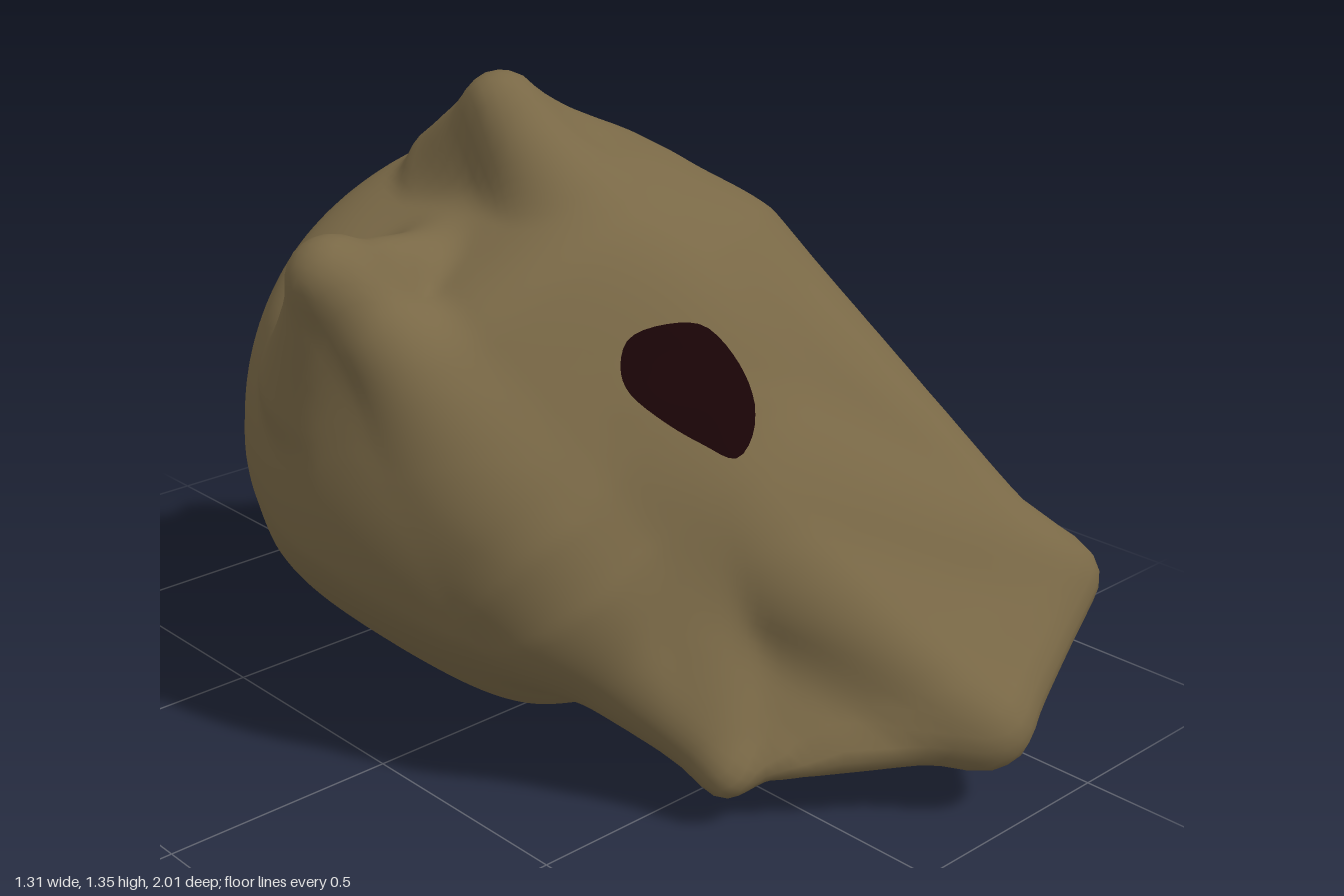
import * as THREE from 'three';
import { mergeVertices } from 'three/addons/utils/BufferGeometryUtils.js';

const V = (x, y, z) => new THREE.Vector3(x, y, z);
const ball = (x, y, z, r) => ({ c: V(x, y, z), r });

// Tips and swellings of the lump: centre and radius
const topTip = ball(-0.1, 1.265, -0.08, 0.062);
const topFront = ball(-0.06, 1.09, 0.05, 0.12);
const topRear = ball(-0.07, 1.11, -0.2, 0.125);
const topRight = ball(0.07, 1.06, -0.08, 0.16);
const sideTip = ball(-0.575, 1.035, -0.01, 0.065);
const sideRoot = ball(-0.35, 0.6, -0.08, 0.27);
const sideBase = ball(-0.49, 0.8, -0.12, 0.15);
const leftFlank = ball(-0.22, 0.45, 0.25, 0.25);
const faceMid = ball(0, 0.6, 0.25, 0.29);
const faceTop = ball(-0.06, 0.7, 0.28, 0.19);
const ridgeTop = ball(0.2, 0.8, 0.15, 0.3);
const ridgeEnd = ball(0.5, 0.4, 0.8, 0.09);
const snoutRoot = ball(0.1, 0.43, 0.15, 0.36);
const snoutOuter = ball(0.57, 0.37, 0.84, 0.07);
const snoutInner = ball(0.26, 0.19, 0.905, 0.077);
const spikeTip = ball(-0.15, 0.115, 0.62, 0.032);
const backTip = ball(-0.02, 0.43, -0.94, 0.045);
const backLump = ball(0.21, 0.22, -0.78, 0.115);
const backLow = ball(0.02, 0.2, -0.75, 0.11);
const backLeft = ball(-0.2, 0.52, -0.36, 0.29);
const backRight = ball(0.07, 0.45, -0.32, 0.32);
const backTop = ball(0, 0.78, -0.35, 0.24);
const backSlope = ball(0.05, 0.4, -0.83, 0.09);

// Limbs join two balls, webs join three
const parts = [
  // top horn
  [topTip, topFront, topRear], [topTip, topRight, topRear], [topTip, topRight, topFront],
  // side horn, with a saddle towards the top horn
  [sideTip, sideRoot, leftFlank], [sideTip, sideBase],
  [sideTip, ball(-0.15, 0.94, -0.1, 0.1)],
  // front face and snout
  [ridgeTop, ridgeEnd, faceMid], [faceMid, ridgeEnd, snoutInner],
  [snoutRoot, snoutInner, snoutOuter], [ridgeEnd, snoutInner, snoutOuter],
  [ball(0.28, 0.5, 0.1, 0.26), ball(0.45, 0.36, 0.7, 0.12)],
  // front spike
  [faceMid, faceTop, spikeTip], [leftFlank, faceMid, spikeTip], [snoutRoot, snoutInner, spikeTip],
  [ball(-0.05, 0.4, 0.25, 0.31), spikeTip],
  // back horn with the blunt lump below it
  [backTip, backLeft, backLow], [backTip, backLump, backLow],
  [backRight, backLump, backLow], [backRight, backLump, backTip],
  [backTop, backSlope, backRight], [backSlope, backLump, backTip],
  // belly swelling
  [ball(0.1, 0.4, -0.05, 0.39), ball(0.2, 0.42, 0, 0.37)],
].map((balls) => ({
  balls,
  face: balls.length === 3 ? new THREE.Triangle(...balls.map((b) => b.c)) : null,
  radii: V(...balls.map((b) => b.r)),
}));

// Round core and the flat cuts that shape it: direction, distance
const coreCentre = V(0, 0.61, -0.08);
const coreSize = V(0.62, 0.61, 0.6);
const cuts = [
  [V(-0.46, 0.43, 0.775).normalize(), 0.75], // front face
  [V(-0.68, -0.73, 0).normalize(), 0.125],   // lower side
  [V(0.7, 0, -0.71).normalize(), 0.62],      // rear corner
  [V(-0.5, 0.85, 0).normalize(), 1.05],      // saddle between the horns
  [V(0.75, 0.66, 0).normalize(), 0.98],      // upper side
  [V(0.48, 0.6, -0.64).normalize(), 0.96],   // upper rear corner
];

function smoothMin(a, b, k) {
  const h = Math.max(k - Math.abs(a - b), 0) / k;
  return Math.min(a, b) - h * h * k / 4;
}

function coreDistance(p) {
  const q = p.clone().sub(coreCentre).divide(coreSize);
  const k0 = q.length();
  const k1 = q.divide(coreSize).length();
  const round = k1 > 1e-6 ? k0 * (k0 - 1) / k1 : -0.6;
  return cuts.reduce((d, [n, far]) => -smoothMin(-d, far - n.dot(p), 0.06), round);
}

const near = V(0, 0, 0), weights = V(0, 0, 0);
function partDistance(p, { balls: [a, b], face, radii }) {
  if (face) {
    face.closestPointToPoint(p, near);
    face.getBarycoord(near, weights);
    return near.distanceTo(p) - weights.dot(radii);
  }
  const ab = b.c.clone().sub(a.c);
  const ap = p.clone().sub(a.c);
  const t = THREE.MathUtils.clamp(ap.dot(ab) / ab.lengthSq(), 0, 1);
  return ap.addScaledVector(ab, -t).length() - (a.r + (b.r - a.r) * t);
}

const field = (p) =>
  parts.reduce((d, part) => smoothMin(d, partDistance(p, part), 0.05), coreDistance(p));

// First surface point met when walking from a start point along a direction
function hitSurface(start, dir) {
  const p = start.clone();
  for (let i = 0; i < 70; i++) {
    const d = field(p);
    if (d < 0.0005) break;
    p.addScaledVector(dir, d * 0.8);
  }
  return p;
}

// Sphere shrunk onto the blended surface
function makeBody() {
  let geo = new THREE.IcosahedronGeometry(1, 38);
  geo.deleteAttribute('uv');
  geo.deleteAttribute('normal');
  geo = mergeVertices(geo, 1e-5);
  const centre = V(0, 0.5, 0);
  const pos = geo.attributes.position;
  const dir = V(0, 0, 0);
  for (let i = 0; i < pos.count; i++) {
    dir.fromBufferAttribute(pos, i).normalize();
    const p = hitSurface(centre.clone().addScaledVector(dir, 1.3), dir.clone().negate());
    pos.setXYZ(i, p.x, p.y, p.z);
  }
  return geo;
}

// Thin patch of concentric rings laid on the front face
function makePatch() {
  const outline = new THREE.CatmullRomCurve3([
    [-0.2, 0.83], [-0.17, 0.785], [-0.11, 0.735], [-0.06, 0.705], [-0.005, 0.745], [0.02, 0.81],
    [0.01, 0.87], [-0.03, 0.93], [-0.1, 0.94], [-0.17, 0.92], [-0.2, 0.87],
  ].map(([x, y]) => V(x, y, 0)), true);
  const centre = V(-0.085, 0.825, 0);
  const sides = 40, rings = 8;
  const verts = [], index = [];
  for (let r = 0; r <= rings; r++) {
    for (let s = 0; s < sides; s++) {
      const q = centre.clone().lerp(outline.getPoint(s / sides), r / rings);
      const p = hitSurface(V(q.x, q.y, 1.2), V(0, 0, -1));
      verts.push(p.x, p.y, p.z + 0.007);
      if (r === rings) continue;
      const a = r * sides + s, b = r * sides + (s + 1) % sides;
      index.push(a, a + sides, b + sides, a, b + sides, b);
    }
  }
  const geo = new THREE.BufferGeometry();
  geo.setAttribute('position', new THREE.Float32BufferAttribute(verts, 3));
  geo.setIndex(index);
  return geo;
}

export function createModel() {
  const hide = new THREE.MeshStandardMaterial({ color: 0x796846 });
  hide.name = 'olive brown';
  const dark = new THREE.MeshStandardMaterial({ color: 0x190406 });
  dark.name = 'dark maroon';

  const group = new THREE.Group();
  group.name = 'hornedLump';
  for (const [name, geo, mat] of [['body', makeBody(), hide], ['opening', makePatch(), dark]]) {
    geo.computeVertexNormals();
    const mesh = new THREE.Mesh(geo, mat);
    mesh.name = name;
    group.add(mesh);
  }
  return group;
}
